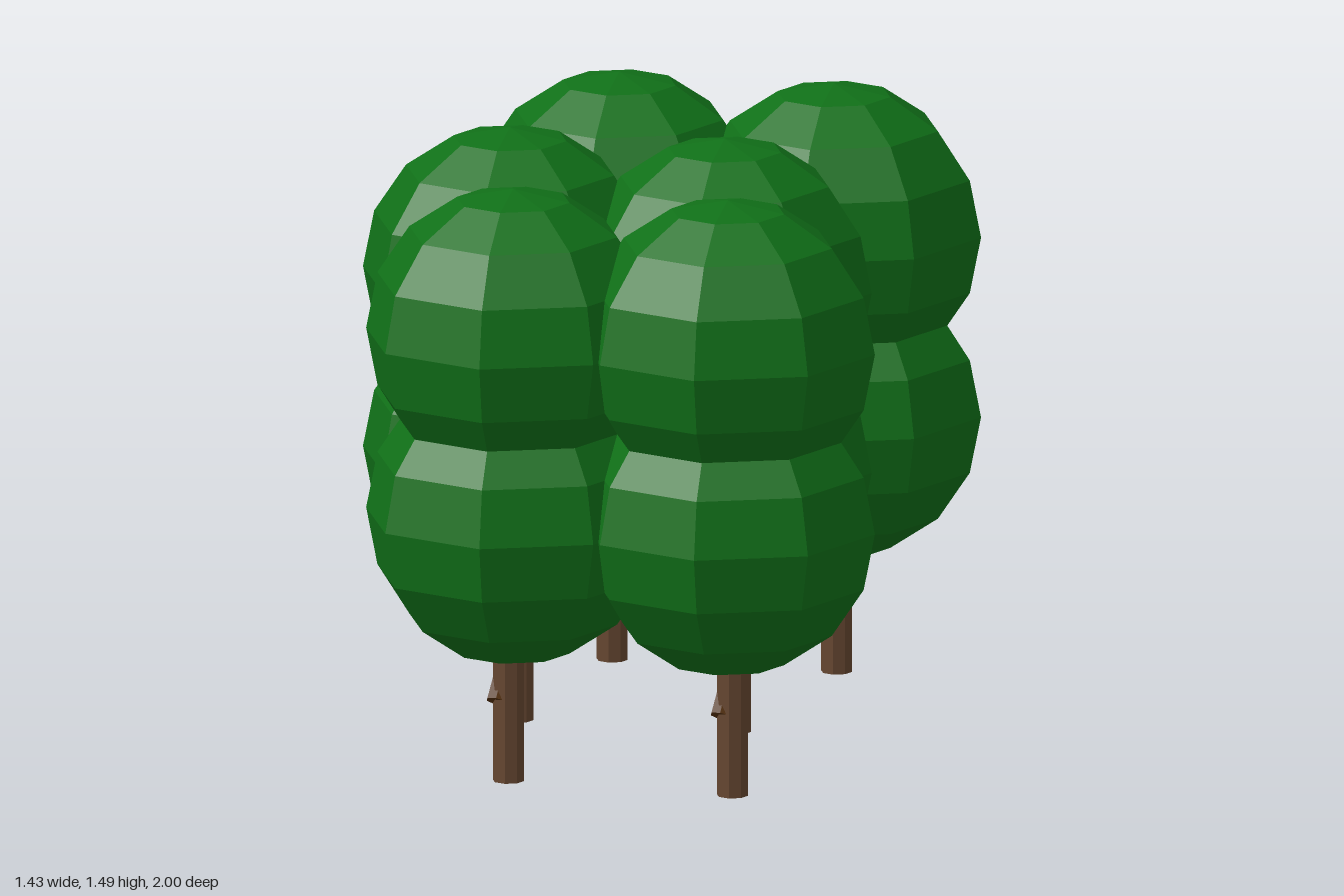
import * as THREE from 'three';

const leafMat = new THREE.MeshStandardMaterial({ color: 0x107018, flatShading: true });
const trunkMat = new THREE.MeshStandardMaterial({ color: 0x654630, flatShading: true });
const branchMat = new THREE.MeshStandardMaterial({ color: 0x56320f, flatShading: true });

const CROWN_RADIUS = 0.37;
const crownGeo = new THREE.SphereGeometry(CROWN_RADIUS, 8, 8);
const trunkGeo = new THREE.CylinderGeometry(0.039, 0.039, 0.5, 8);

// Branch: tapered limb from the front of the trunk up and back into the crown
const branchStart = new THREE.Vector3(-0.022, 0.2, 0.015);
const branchEnd = new THREE.Vector3(0.005, 0.42, -0.115);
const branchDir = branchEnd.clone().sub(branchStart);
const branchGeo = new THREE.CylinderGeometry(0.022, 0.031, branchDir.length(), 7);

function addPart(group, name, geometry, material, x, y, z) {
  const mesh = new THREE.Mesh(geometry, material);
  mesh.name = name;
  mesh.position.set(x, y, z);
  group.add(mesh);
  return mesh;
}

// One tree; dx, dz shift the trunk away from the crown's axis
function makeTree(x, z, dx, dz) {
  const tree = new THREE.Group();
  tree.name = 'tree';
  tree.position.set(x, 0, z);

  addPart(tree, 'lowerCrown', crownGeo, leafMat, 0, 0.667, 0);
  addPart(tree, 'upperCrown', crownGeo, leafMat, 0, 1.12, 0);
  addPart(tree, 'trunk', trunkGeo, trunkMat, dx, 0.25, dz);

  const mid = branchStart.clone().add(branchEnd).multiplyScalar(0.5);
  const branch = addPart(tree, 'branch', branchGeo, branchMat, mid.x + dx, mid.y, mid.z + dz);
  branch.quaternion.setFromUnitVectors(new THREE.Vector3(0, 1, 0), branchDir.clone().normalize());
  return tree;
}

export function createModel() {
  const grove = new THREE.Group();
  grove.name = 'grove';
  // Three staggered rows of two: x, z, trunk shift x, trunk shift z
  const trees = [
    [-0.22, -0.63, -0.025, -0.03], [0.32, -0.63, 0, -0.03],
    [-0.35, 0, 0.022, 0.01], [0.19, 0, 0.03, 0.01],
    [-0.197, 0.63, -0.01, 0.01], [0.343, 0.63, 0.02, 0.037],
  ];
  for (const t of trees) grove.add(makeTree(...t));
  return grove;
}
